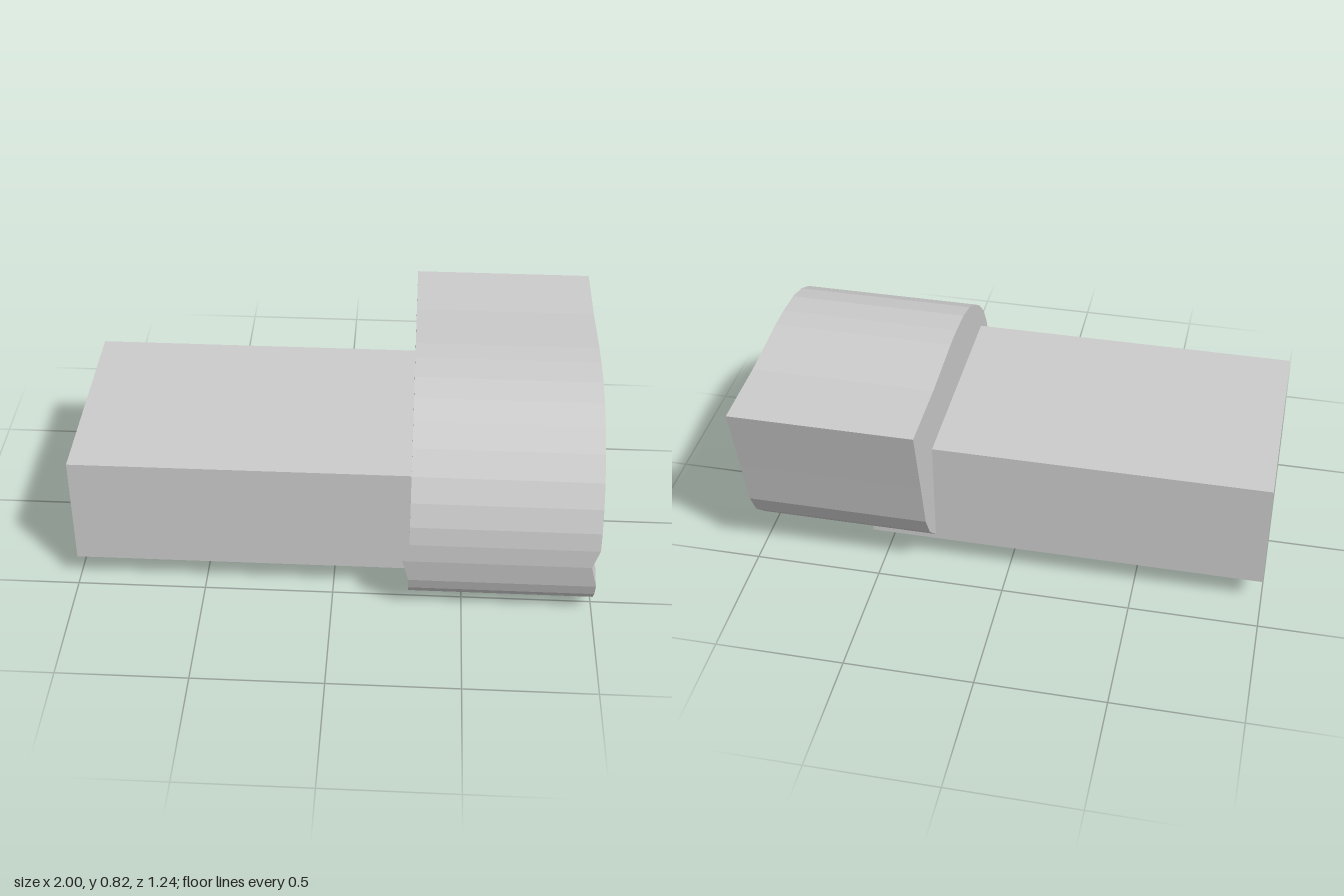
import * as THREE from 'three';

const material = new THREE.MeshStandardMaterial({ color: 0xcccccc, flatShading: true });

// Head outline as [z, y], anticlockwise seen from +x
const OUTER = [
  [-0.62, 0.8], [-0.32, 0.8], [-0.17, 0.81], [-0.04, 0.82], [0.06, 0.82], [0.18, 0.81], [0.28, 0.785],
  [0.37, 0.74], [0.455, 0.68], [0.53, 0.605], [0.58, 0.52], [0.61, 0.43], [0.62, 0.355], [0.62, 0.275],
  [0.605, 0.17], [0.585, 0.115], [0.55, 0.07], [0.45, 0.045], [0.33, 0.028], [0.19, 0.013], [0.06, 0],
  [-0.04, 0.012], [-0.155, 0.043], [-0.28, 0.083], [-0.38, 0.14], [-0.46, 0.22], [-0.51, 0.315], [-0.555, 0.52],
];
// Edge of the recess, matched point for point
const INNER = [
  [-0.53, 0.755], [-0.27, 0.755], [-0.15, 0.765], [-0.04, 0.772], [0.05, 0.772], [0.155, 0.765], [0.245, 0.74],
  [0.325, 0.7], [0.4, 0.65], [0.46, 0.585], [0.51, 0.51], [0.535, 0.435], [0.547, 0.36], [0.547, 0.295],
  [0.53, 0.2], [0.515, 0.155], [0.487, 0.12], [0.4, 0.1], [0.3, 0.088], [0.175, 0.072], [0.06, 0.062],
  [-0.03, 0.068], [-0.13, 0.098], [-0.245, 0.135], [-0.33, 0.185], [-0.395, 0.25], [-0.435, 0.33], [-0.48, 0.54],
];
const DENT = 13; // outline point pushed inward along x
const BACK = 0.293, FACE = 1, FLOOR = 0.94;

function headGeometry() {
  const n = OUTER.length, positions = [], index = [];
  const rings = [[OUTER, BACK, 0.025], [OUTER, FACE, 0.025], [INNER, FACE, 0.025], [INNER, FLOOR, 0]];
  for (const [outline, x, dent] of rings) {
    outline.forEach(([z, y], i) => positions.push(i === DENT ? x - dent : x, y, z));
  }
  // Outer skin, rim and recess wall
  for (let r = 0; r < rings.length - 1; r++) {
    for (let i = 0; i < n; i++) {
      const j = (i + 1) % n;
      const a = r * n + i, b = r * n + j, c = a + n, d = b + n;
      index.push(a, b, d, a, d, c);
    }
  }
  // Back cap and recess floor
  const flat = (outline) => outline.map(([z, y]) => new THREE.Vector2(-z, y));
  for (const [a, b, c] of THREE.ShapeUtils.triangulateShape(flat(OUTER), [])) index.push(a, c, b);
  for (const [a, b, c] of THREE.ShapeUtils.triangulateShape(flat(INNER), [])) {
    index.push(a + 3 * n, b + 3 * n, c + 3 * n);
  }
  const geometry = new THREE.BufferGeometry();
  geometry.setAttribute('position', new THREE.Float32BufferAttribute(positions, 3));
  geometry.setIndex(index);
  const faceted = geometry.toNonIndexed();
  faceted.computeVertexNormals();
  return faceted;
}

export function createModel() {
  const group = new THREE.Group();
  const add = (name, geometry, x, y, z) => {
    const mesh = new THREE.Mesh(geometry, material);
    mesh.name = name;
    mesh.position.set(x, y, z);
    group.add(mesh);
  };

  add('head', headGeometry(), 0, 0, 0);

  // Rectangular block running into the back of the head
  add('block', new THREE.BoxGeometry(1.55, 0.45, 0.85), -0.225, 0.34, 0.05);

  // Round disc standing in the recess, flush with the rim
  const disc = new THREE.CylinderGeometry(0.293, 0.293, 0.08, 64).rotateZ(-Math.PI / 2);
  add('disc', disc, 0.959, 0.452, -0.095);

  return group;
}
